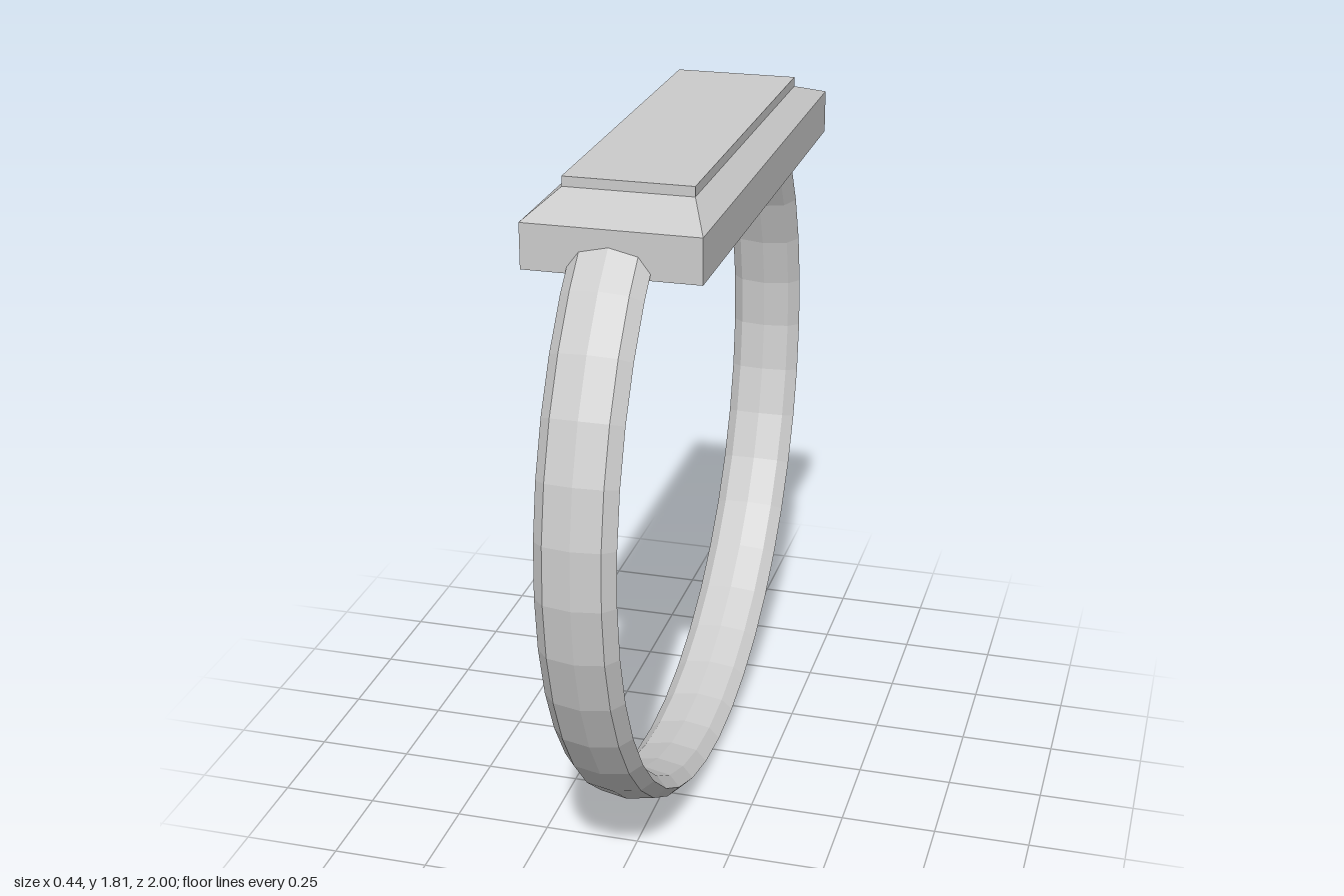
import * as THREE from 'three';

const material = new THREE.MeshStandardMaterial({ color: 0xcccccc, flatShading: true, side: THREE.DoubleSide });

// Box between two heights whose top may be smaller than its base
function slab(name, y0, y1, baseX, baseZ, topX = baseX, topZ = baseZ) {
  const geo = new THREE.BoxGeometry(2, y1 - y0, 2);
  geo.translate(0, (y0 + y1) / 2, 0);
  const mid = (y0 + y1) / 2;
  const p = geo.attributes.position;
  for (let i = 0; i < p.count; i++) {
    const top = p.getY(i) > mid;
    p.setX(i, p.getX(i) * (top ? topX : baseX));
    p.setZ(i, p.getZ(i) * (top ? topZ : baseZ));
  }
  geo.computeVertexNormals();
  const mesh = new THREE.Mesh(geo, material);
  mesh.name = name;
  return mesh;
}

// Open elliptical hoop with a flattened octagonal section; its ends sit inside the bezel
function hoop() {
  const segments = 32, sides = 8;
  const radiusZ = 0.96, radiusY = 0.934, centreY = 0.974;
  const halfWidth = 0.1, halfThick = 0.04, offsetX = -0.005;
  const end = THREE.MathUtils.degToRad(50.4);
  const start = -Math.PI - end;
  const positions = [], index = [];
  for (let i = 0; i <= segments; i++) {
    const t = start + (end - start) * i / segments;
    for (let j = 0; j < sides; j++) {
      const a = j / sides * Math.PI * 2;
      const r = halfThick * Math.sin(a);
      positions.push(
        offsetX + halfWidth * Math.cos(a),
        centreY + (radiusY + r) * Math.sin(t),
        (radiusZ + r) * Math.cos(t));
    }
  }
  for (let i = 0; i < segments; i++) {
    for (let j = 0; j < sides; j++) {
      const k = (j + 1) % sides;
      const a = i * sides + j, b = i * sides + k;
      index.push(a, a + sides, b, b, a + sides, b + sides);
    }
  }
  // End caps
  const last = segments * sides;
  for (let j = 1; j < sides - 1; j++) {
    index.push(0, j, j + 1, last, last + j + 1, last + j);
  }
  const geo = new THREE.BufferGeometry();
  geo.setAttribute('position', new THREE.Float32BufferAttribute(positions, 3));
  geo.setIndex(index);
  const flat = geo.toNonIndexed();
  flat.computeVertexNormals();
  const mesh = new THREE.Mesh(flat, material);
  mesh.name = 'band';
  return mesh;
}

export function createModel() {
  const ring = new THREE.Group();
  ring.name = 'ring';
  ring.add(
    hoop(),
    slab('bezelBase', 1.627, 1.74, 0.218, 0.666),
    slab('bezelBevel', 1.74, 1.787, 0.218, 0.666, 0.161, 0.52),
    slab('topPlate', 1.787, 1.812, 0.161, 0.52));
  return ring;
}
